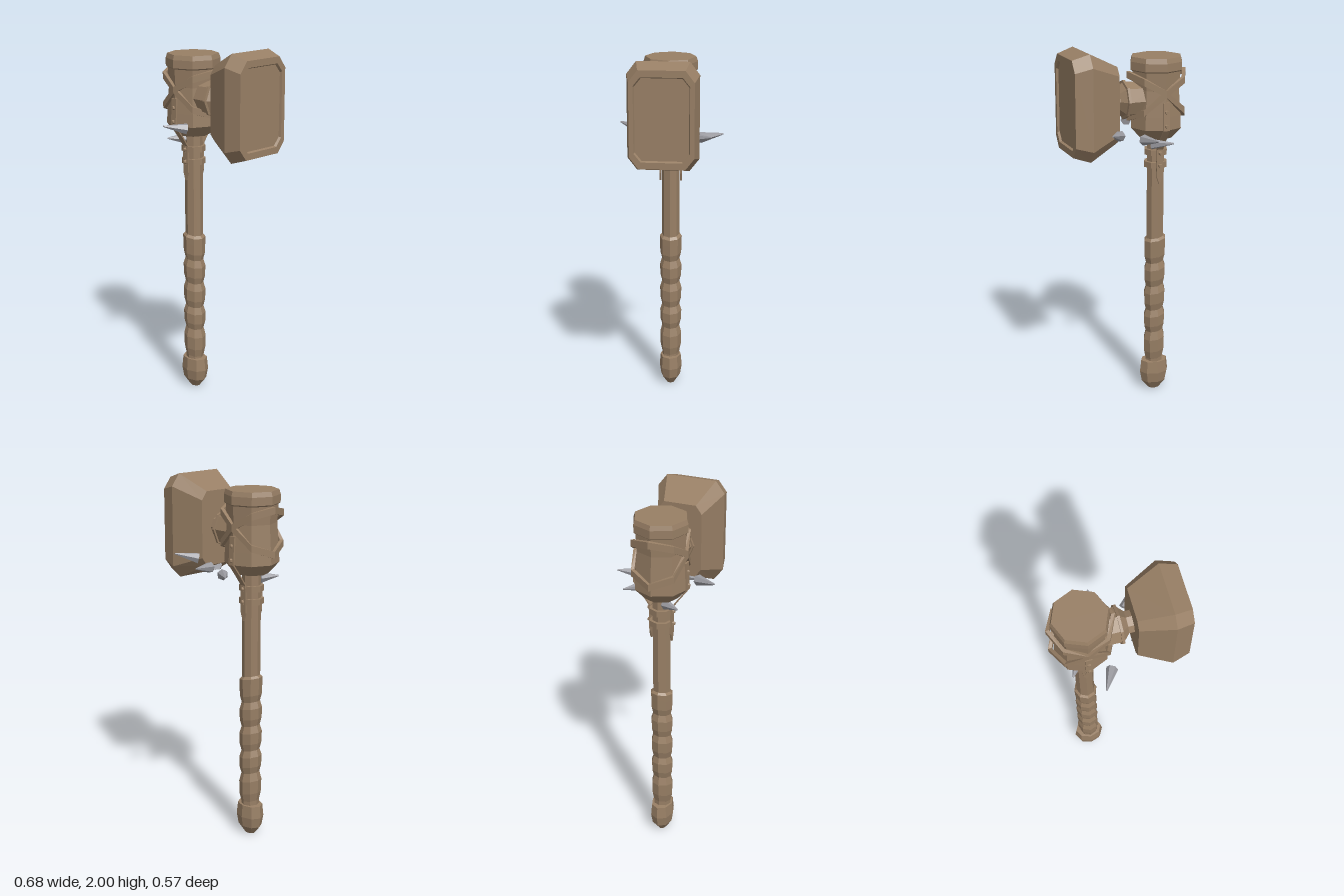
import * as THREE from 'three';

const wood = new THREE.MeshStandardMaterial({ color: 0x987f65, flatShading: true });
wood.name = 'brown';
const steel = new THREE.MeshStandardMaterial({ color: 0x9b9ba1, flatShading: true });
steel.name = 'grey';

const AX = -0.17, AZ = 0.01; // handle axis
const HY = 1.718;            // hammer block axis height

function add(parent, name, geo, mat = wood) {
  const m = new THREE.Mesh(geo, mat);
  m.name = name;
  parent.add(m);
  return m;
}

// Turned eight-sided part; profile is [radius, y] from bottom to top
function turned(profile) {
  return new THREE.LatheGeometry(profile.map(([r, y]) => new THREE.Vector2(r, y)), 8);
}

// Joins equal loops of points with quads; optionally closes the loops into a ring or caps them
function loft(loops, { ring = false, caps = false } = {}) {
  const pos = [];
  const tri = (...p) => p.forEach(v => pos.push(...v));
  const n = loops[0].length;
  const last = ring ? loops.length : loops.length - 1;
  for (let i = 0; i < last; i++) {
    const A = loops[i], B = loops[(i + 1) % loops.length];
    for (let j = 0; j < n; j++) {
      const k = (j + 1) % n;
      tri(A[j], A[k], B[k]);
      tri(A[j], B[k], B[j]);
    }
  }
  if (caps) {
    const A = loops[0], B = loops[loops.length - 1];
    for (let j = 1; j < n - 1; j++) {
      tri(A[0], A[j + 1], A[j]);
      tri(B[0], B[j], B[j + 1]);
    }
  }
  const g = new THREE.BufferGeometry();
  g.setAttribute('position', new THREE.Float32BufferAttribute(pos, 3));
  g.computeVertexNormals();
  return g;
}

// Rectangle with chamfered corners in the y-z plane
function chamfered(x, h, w, ch, cw) {
  return [[h, -w + cw], [h, w - cw], [h - ch, w], [-h + ch, w],
    [-h, w - cw], [-h, -w + cw], [-h + ch, -w], [h - ch, -w]]
    .map(([y, z]) => [x, HY + y, AZ + z]);
}

// Leather band wound at a slant round the head
function slantedBand(side) {
  const loops = [];
  for (let i = 0; i < 8; i++) {
    const t = i * Math.PI / 4, c = Math.cos(t), s = Math.sin(t);
    const r = 0.136 + 0.024 * Math.abs(c);
    const y = 1.765 - 0.022 * Math.abs(c) + side * 0.115 * c;
    loops.push([[r + 0.011, -0.018], [r + 0.011, 0.018], [r - 0.008, 0.018], [r - 0.008, -0.018]]
      .map(([q, dy]) => [q * c, y + dy, q * s]));
  }
  return loft(loops, { ring: true });
}

// Thin strap running down the head and handle, ending in a point
function strapGeometry() {
  const path = [[1.72, 0.143, 0.018], [1.57, 0.15, 0.018], [1.5, 0.098, 0.018],
    [1.45, 0.064, 0.018], [1.3, 0.062, 0.018], [1.255, 0.062, 0.003]];
  return loft(path.map(([y, z, w]) =>
    [[-w, y, z], [-w, y, z - 0.009], [w, y, z - 0.009], [w, y, z]]), { caps: true });
}

function spike(parent, base, tip) {
  const a = new THREE.Vector3(...base), b = new THREE.Vector3(...tip);
  const d = b.clone().sub(a);
  const m = add(parent, 'spike', new THREE.CylinderGeometry(0.004, 0.03, d.length(), 6), steel);
  m.position.copy(a).add(b).multiplyScalar(0.5);
  m.quaternion.setFromUnitVectors(new THREE.Vector3(0, 1, 0), d.normalize());
}

export function createModel() {
  const model = new THREE.Group();
  model.name = 'warHammer';
  const column = new THREE.Group();
  column.name = 'handleAndHead';
  column.position.set(AX, 0, AZ);
  model.add(column);

  // Handle shaft and its pommel
  add(column, 'shaft', turned([[0.05, 0.15], [0.05, 1.54]]));
  add(column, 'pommel', turned([[0, 0], [0.032, 0], [0.074, 0.05], [0.086, 0.11],
    [0.078, 0.18], [0, 0.185]])).scale.z = 0.76;

  // Wrapped grip: a row of bulges with slightly slanted seams
  const grip = [[0.05, 0.18]];
  const seams = [0.2, 0.37, 0.505, 0.65, 0.79, 0.925];
  for (let i = 0; i < 5; i++) {
    const lo = seams[i], h = seams[i + 1] - lo;
    grip.push([0.05, lo], [0.06, lo + h * 0.28], [0.062, lo + h * 0.72]);
  }
  grip.push([0.063, 0.925], [0.048, 0.94]);
  const gripGeo = turned(grip);
  const gp = gripGeo.attributes.position;
  for (let i = 0; i < gp.count; i++) gp.setY(i, gp.getY(i) - 0.18 * gp.getX(i));
  add(column, 'grip', gripGeo);

  // Collars on the handle
  for (const y of [1.43, 1.36]) {
    add(column, 'collar', new THREE.CylinderGeometry(0.066, 0.066, 0.032, 8)).position.y = y;
  }

  // Barrel-shaped head with its cap
  add(column, 'headBarrel', turned([[0, 1.5], [0.09, 1.51], [0.145, 1.57], [0.141, 1.64],
    [0.131, 1.78], [0.137, 1.88]]));
  add(column, 'headCap', turned([[0, 1.87], [0.13, 1.87], [0.147, 1.882], [0.147, 1.925],
    [0.139, 1.95], [0, 1.95]]));

  // Crossed bands
  for (const side of [-1, 1]) add(column, 'crossedBand', slantedBand(side));

  // Riveted straps on front and back
  for (const turn of [0, Math.PI]) {
    const strap = new THREE.Group();
    strap.name = 'rivetedStrap';
    strap.rotation.y = turn;
    add(strap, 'strap', strapGeometry());
    for (const [y, z] of [[1.67, 0.147], [1.595, 0.15], [1.43, 0.068], [1.36, 0.068]]) {
      const rivet = add(strap, 'rivet', new THREE.CylinderGeometry(0.008, 0.012, 0.012, 6));
      rivet.rotation.x = Math.PI / 2;
      rivet.position.set(0, y, z + 0.002);
    }
    column.add(strap);
  }

  // Neck between head and block, turned about the x axis
  const neck = add(model, 'neck', turned([[0.09, -0.15], [0.096, 0.01], [0.106, 0.01],
    [0.106, 0.024], [0.092, 0.026], [0.06, 0.056], [0.06, 0.095]]));
  neck.rotation.z = -Math.PI / 2;
  neck.position.set(0, 1.725, AZ);

  // Hammer block with a shallow recessed striking face
  add(model, 'hammerBlock', loft([
    chamfered(0.085, 0.2, 0.121, 0.045, 0.033),
    chamfered(0.252, 0.282, 0.186, 0.065, 0.05),
    chamfered(0.343, 0.253, 0.166, 0.06, 0.046),
    chamfered(0.343, 0.218, 0.143, 0.045, 0.036),
    chamfered(0.331, 0.212, 0.138, 0.043, 0.035),
  ], { caps: true }));

  // Loose ring of spikes below the head
  const spikes = new THREE.Group();
  spikes.name = 'spikes';
  model.add(spikes);
  spike(spikes, [-0.03, 1.54, -0.16], [-0.063, 1.556, -0.285]);
  spike(spikes, [-0.09, 1.505, -0.125], [-0.188, 1.515, -0.196]);
  spike(spikes, [0.092, 1.565, -0.133], [0.169, 1.593, -0.233]);
  spike(spikes, [-0.058, 1.575, 0.168], [-0.117, 1.597, 0.28]);
  spike(spikes, [0.105, 1.505, 0.01], [0.175, 1.46, 0.1]);
  spike(spikes, [-0.2, 1.482, 0.045], [-0.25, 1.488, 0.13]);
  return model;
}
